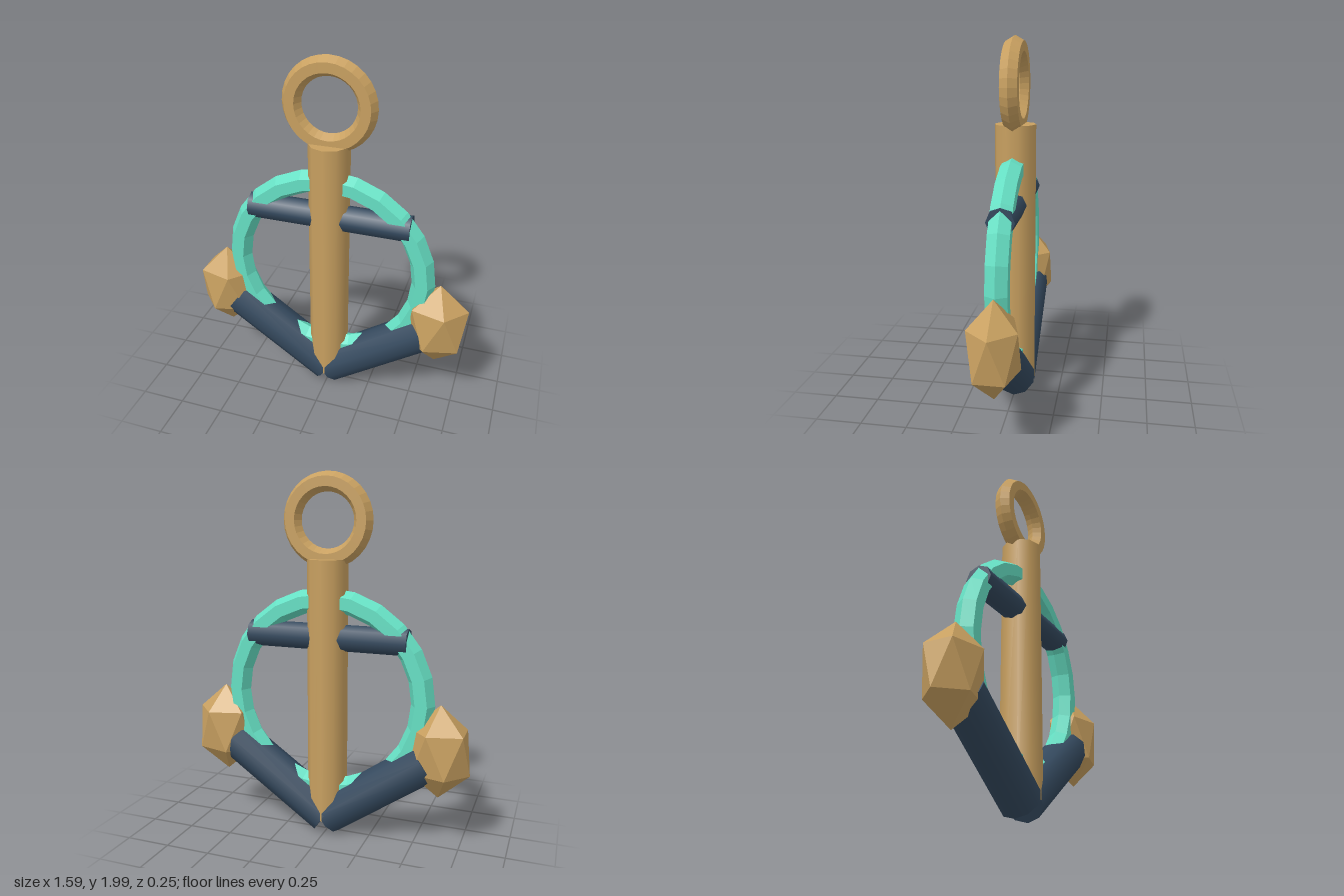
import * as THREE from 'three';
import { ConvexGeometry } from 'three/addons/geometries/ConvexGeometry.js';

const mat = (color, flatShading = false) => new THREE.MeshStandardMaterial({ color, flatShading });

export function createModel() {
  const model = new THREE.Group();
  model.name = 'anchor';
  const brass = mat(0xc8a060), brassFlat = mat(0xc8a060, true);
  const navy = mat(0x34495e), teal = mat(0x66e0c4, true);

  const add = (name, geometry, material, x, y, rotZ = 0) => {
    const mesh = new THREE.Mesh(geometry, material);
    mesh.name = name;
    mesh.position.set(x, y, 0);
    mesh.rotation.z = rotZ;
    model.add(mesh);
  };

  // Upright shaft with the ring on top
  add('shaft', new THREE.CylinderGeometry(0.11, 0.11, 1.45, 10), brass, 0, 0.825);
  add('topRing', new THREE.TorusGeometry(0.198, 0.052, 6, 32), brassFlat, 0, 1.75);

  // Horizontal stock
  add('stock', new THREE.CylinderGeometry(0.073, 0.073, 0.9, 8), navy, 0, 1.13, Math.PI / 2);

  // Large hoop around the shaft
  add('hoop', new THREE.TorusGeometry(0.535, 0.065, 6, 24), teal, 0, 0.8);

  // Faceted fluke: two poles and two staggered five-sided rings
  const points = [new THREE.Vector3(0, 0.258, 0), new THREE.Vector3(0, -0.258, 0)];
  for (let i = 0; i < 10; i++) {
    const a = (i * Math.PI) / 5;
    points.push(new THREE.Vector3(0.165 * Math.cos(a), i % 2 ? -0.115 : 0.115, 0.132 * Math.sin(a)));
  }
  const fluke = new ConvexGeometry(points);

  // Slanted arms, each ending in a fluke
  const arm = new THREE.CylinderGeometry(0.114, 0.114, 0.685, 10, 1, false, Math.PI / 2);
  const slope = THREE.MathUtils.degToRad(34.8);
  for (const [side, s] of [['left', 1], ['right', -1]]) {
    add(side + 'Arm', arm, navy, s * 0.285, 0.298, s * (slope - Math.PI / 2));
    add(side + 'Fluke', fluke, brassFlat, s * 0.63, 0.553);
  }
  return model;
}
